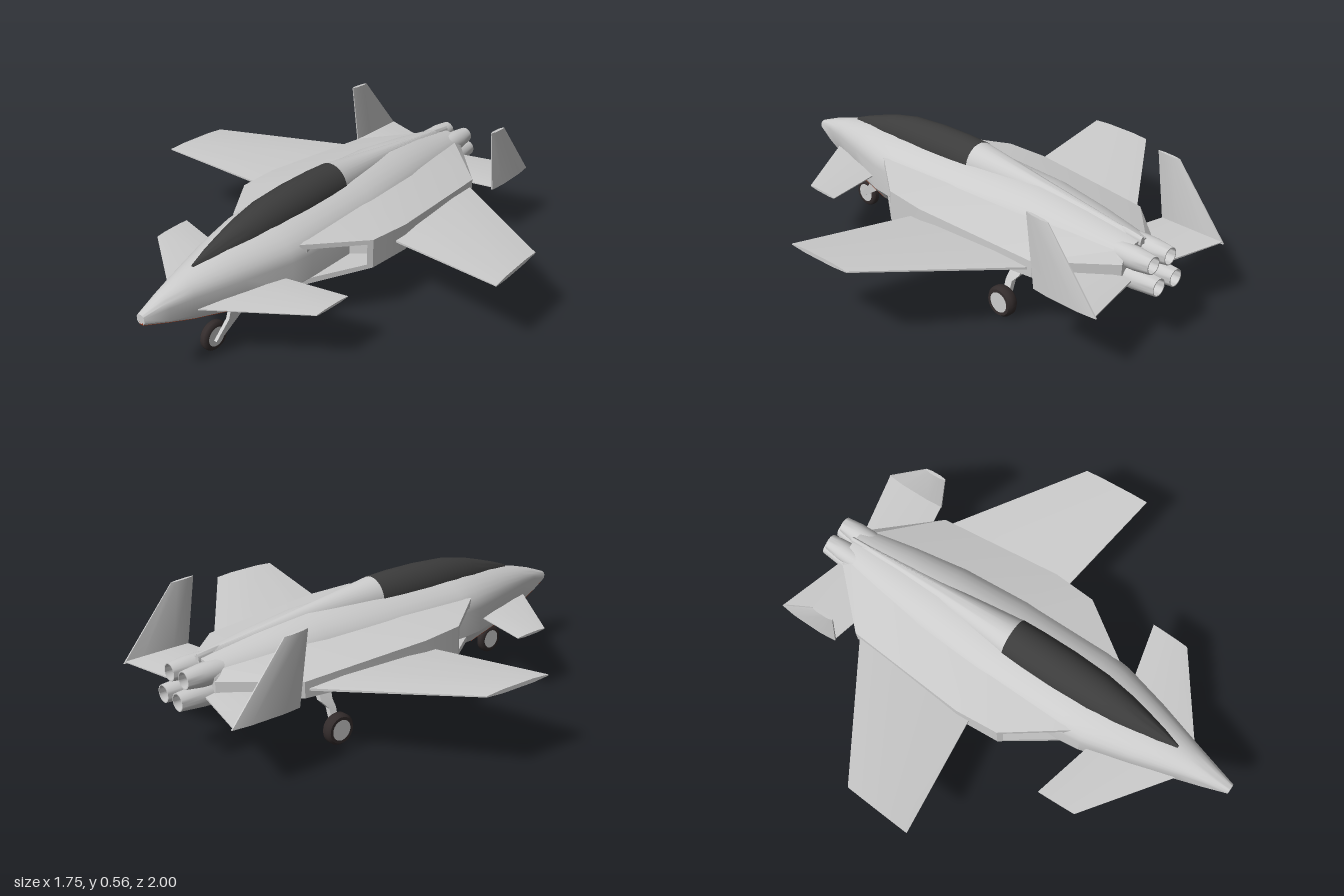
import * as THREE from 'three';
import { toCreasedNormals } from 'three/addons/utils/BufferGeometryUtils.js';

const mat = (color) => new THREE.MeshStandardMaterial({ color });
const grey = mat(0xcccccc), glass = mat(0x3c3c3c), red = mat(0xa03a1c), rubber = mat(0x332c2c);

// Skin over a list of closed rings of [x, y, z] points, with end caps, always facing outward
function loft(rings, crease = 0.6) {
  const n = rings[0].length, pts = rings.flat(), tris = [];
  for (let i = 0; i < rings.length - 1; i++) {
    for (let j = 0; j < n; j++) {
      const a = i * n + j, b = i * n + (j + 1) % n;
      tris.push([a, a + n, b], [b, a + n, b + n]);
    }
  }
  const last = (rings.length - 1) * n;
  for (let j = 1; j < n - 1; j++) tris.push([0, j, j + 1], [last, last + j + 1, last + j]);
  const v = pts.map((p) => new THREE.Vector3(...p));
  const volume = tris.reduce((s, [a, b, c]) => s + v[a].dot(v[b].clone().cross(v[c])), 0);
  if (volume < 0) tris.forEach((t) => t.reverse());
  const g = new THREE.BufferGeometry();
  g.setAttribute('position', new THREE.Float32BufferAttribute(pts.flat(), 3));
  g.setIndex(tris.flat());
  return toCreasedNormals(g, crease);
}

// Half-ellipse from right to left at depth z
const arc = (z, w, base, top, n) => Array.from({ length: n + 1 }, (_, i) => {
  const t = (i / n) * Math.PI;
  return [w * Math.cos(t), base + (top - base) * Math.sin(t), z];
});

// Thin lens section between a leading and a trailing edge point, thickened along one axis
function foil(le, te, half, axis) {
  const at = (t, h) => le.map((v, k) => v + (te[k] - v) * t + (k === axis ? h : 0));
  return [at(0, 0.3 * half), at(0.25, half), at(0.75, half), at(1, 0.3 * half),
    at(1, -0.3 * half), at(0.75, -half), at(0.25, -half), at(0, -0.3 * half)];
}

// Rectangular bar through [x, y, z, halfX, halfZ] stations
const bar = (stations) => loft(stations.map(([x, y, z, a, b]) =>
  [[x - a, y, z - b], [x + a, y, z - b], [x + a, y, z + b], [x - a, y, z + b]]));

// Fuselage stations: z, top, half width, widest y, chine y, floor half width, floor y
const hull = [
  [1.0, 0.325, 0.02, 0.31, 0.295, 0.012, 0.285],
  [0.9, 0.362, 0.046, 0.32, 0.265, 0.035, 0.255],
  [0.8, 0.39, 0.074, 0.325, 0.252, 0.06, 0.23],
  [0.6, 0.43, 0.135, 0.33, 0.235, 0.105, 0.192],
  [0.4, 0.452, 0.188, 0.33, 0.225, 0.14, 0.166],
  [0.3, 0.456, 0.2, 0.33, 0.225, 0.14, 0.165],
  [-0.1, 0.46, 0.2, 0.33, 0.225, 0.14, 0.165],
  [-0.4, 0.455, 0.175, 0.33, 0.235, 0.135, 0.185],
  [-0.63, 0.425, 0.145, 0.32, 0.245, 0.12, 0.2],
  [-0.87, 0.385, 0.1, 0.31, 0.255, 0.08, 0.217],
];

export function createModel() {
  const model = new THREE.Group();
  const add = (name, geometry, material = grey, parent = model) => {
    const m = new THREE.Mesh(geometry, material);
    m.name = name;
    parent.add(m);
    return m;
  };

  add('fuselage', loft(hull.map(([z, top, w, side, chine, wf, floor]) => [
    ...arc(z, w, side, top, 16), [-w, chine, z], [-wf, floor, z], [wf, floor, z], [w, chine, z]])));
  add('chinPanel', loft(hull.slice(0, 5).map(([z, , , , , w, y]) =>
    [[w, y - 0.002, z], [w, y + 0.006, z], [-w, y + 0.006, z], [-w, y - 0.002, z]])), red);

  // Canopy and the fairing behind it: z, half width, base, top
  const bubble = (list) => loft(list.map(([z, w, base, top]) => arc(z, w, base, top, 18)));
  add('canopy', bubble([[0.74, 0.006, 0.395, 0.41], [0.66, 0.032, 0.395, 0.44], [0.58, 0.051, 0.4, 0.465],
    [0.48, 0.07, 0.41, 0.494], [0.36, 0.084, 0.425, 0.516], [0.2, 0.09, 0.43, 0.525],
    [0.05, 0.089, 0.43, 0.525], [-0.05, 0.085, 0.43, 0.52]]), glass);
  add('spineFairing', bubble([[-0.05, 0.084, 0.43, 0.519], [-0.4, 0.045, 0.42, 0.467],
    [-0.86, 0.012, 0.36, 0.4]]));
  add('tailSpike', bubble([[-0.72, 0.004, 0.38, 0.412], [-0.8, 0.014, 0.37, 0.412], [-0.88, 0.012, 0.37, 0.4]]));

  for (const s of [1, -1]) {
    const side = s > 0 ? 'left' : 'right';
    const mirror = (rings) => rings.map((r) => r.map(([x, y, z]) => [s * x, y, z]));
    const part = (name, rings, crease) => add(side + name, loft(mirror(rings), crease));

    // Air intake with a swept, hollow mouth, running back into the wide rear body
    const mouth = [[0.18, 0.385, 0.35], [0.35, 0.365, 0.11], [0.35, 0.238, 0.11], [0.165, 0.19, 0.35]];
    const lip = mouth.map(([x, y, z]) => [0.27 + (x - 0.27) * 0.82, 0.3 + (y - 0.3) * 0.72, 0.22 + (z - 0.22) * 0.82]);
    const duct = lip.map(([x, y, z]) => [x, y, z * 0.3 - 0.02]);
    part('Intake', [duct, lip, mouth,
      [[0.1, 0.405, -0.1], [0.365, 0.357, -0.08], [0.365, 0.24, -0.08], [0.139, 0.164, -0.05]],
      [[0.06, 0.392, -0.63], [0.32, 0.325, -0.63], [0.32, 0.26, -0.63], [0.12, 0.199, -0.63]],
      [[0.04, 0.365, -0.87], [0.1, 0.32, -0.87], [0.1, 0.265, -0.87], [0.08, 0.216, -0.87]]], 0.4);

    // Flying surfaces
    part('Wing', [foil([0.25, 0.292, -0.04], [0.25, 0.284, -0.66], 0.016, 1),
      foil([0.875, 0.345, 0.05], [0.86, 0.342, -0.25], 0.008, 1)], 0.3);
    part('Canard', [foil([0.06, 0.272, 0.805], [0.1, 0.272, 0.45], 0.008, 1),
      foil([0.43, 0.272, 0.54], [0.437, 0.272, 0.37], 0.005, 1)], 0.3);
    part('Tailplane', [foil([0.08, 0.275, -0.64], [0.08, 0.265, -0.905], 0.012, 1),
      foil([0.38, 0.28, -0.7], [0.38, 0.275, -0.98], 0.006, 1)], 0.3);
    part('TailFin', [foil([0.38, 0.268, -0.7], [0.38, 0.268, -0.985], 0.011, 0),
      foil([0.38, 0.558, -0.655], [0.38, 0.55, -0.755], 0.007, 0)], 0.3);

    // Hollow engine nozzles, two per side
    for (const [name, y, end] of [['UpperNozzle', 0.337, 0.97], ['LowerNozzle', 0.26, 1.0]]) {
      const profile = [[0.036, 0.7], [0.045, 0.83], [0.044, 0.9], [0.035, end], [0.031, end],
        [0.03, end - 0.05], [0.001, end - 0.06]].map(([r, l]) => new THREE.Vector2(r, l));
      const g = toCreasedNormals(new THREE.LatheGeometry(profile, 24), 0.6);
      g.rotateX(-Math.PI / 2);
      add(side + name, g).position.set(s * 0.05, y, 0);
    }
  }

  // Landing gear
  const wheel = (name, x, z, width) => {
    const g = new THREE.Group();
    g.name = name;
    const h = width / 2;
    const tyre = [[0.042, -h], [0.054, -h], [0.063, -h * 0.5], [0.063, h * 0.5], [0.054, h], [0.042, h]]
      .map(([r, y]) => new THREE.Vector2(r, y));
    add('tyre', toCreasedNormals(new THREE.LatheGeometry(tyre, 28), 0.8).rotateZ(Math.PI / 2), rubber, g);
    add('hub', new THREE.CylinderGeometry(0.043, 0.043, width * 0.92, 28).rotateZ(Math.PI / 2), grey, g);
    g.position.set(x, 0.063, z);
    model.add(g);
  };
  wheel('noseWheel', 0.015, 0.67, 0.036);
  add('noseStrut', bar([[0.045, 0.22, 0.56, 0.008, 0.03], [0.045, 0.125, 0.585, 0.008, 0.035],
    [0.043, 0.055, 0.675, 0.007, 0.014]]));
  for (const s of [1, -1]) {
    wheel(s > 0 ? 'leftMainWheel' : 'rightMainWheel', s * 0.272, -0.445, 0.047);
    add(s > 0 ? 'leftMainStrut' : 'rightMainStrut', bar([[s * 0.165, 0.235, -0.445, 0.014, 0.034],
      [s * 0.205, 0.165, -0.455, 0.014, 0.026], [s * 0.222, 0.135, -0.44, 0.012, 0.016],
      [s * 0.252, 0.06, -0.445, 0.01, 0.014]]));
  }
  return model;
}
